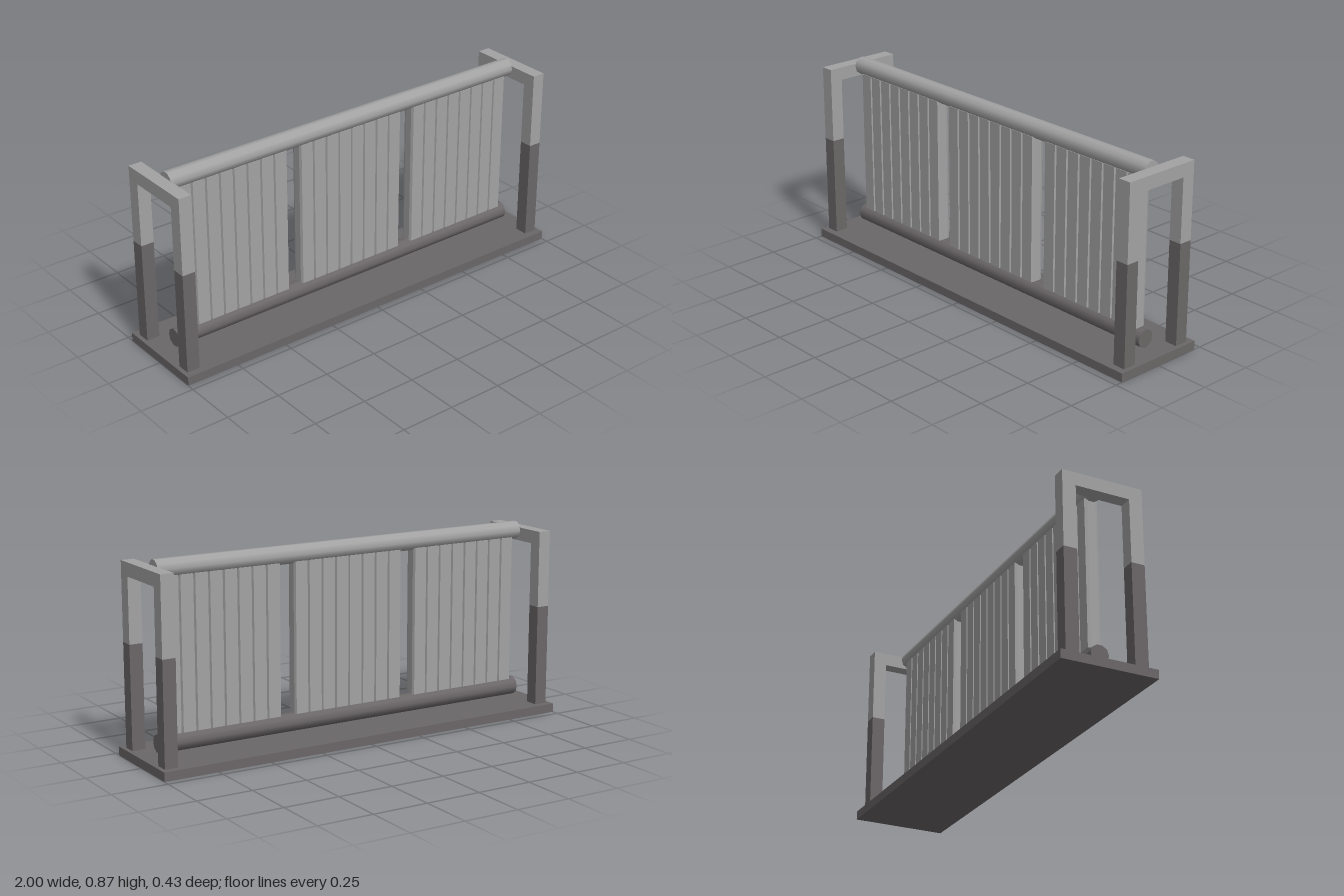
import * as THREE from 'three';

export function createModel() {
  const model = new THREE.Group();
  model.name = 'slattedBarrier';

  const darkGrey = new THREE.MeshStandardMaterial({ color: 0x6b6768 });
  darkGrey.name = 'darkGrey';
  const lightGrey = new THREE.MeshStandardMaterial({ color: 0xa3a3a3 });
  lightGrey.name = 'lightGrey';

  function add(name, geometry, material, x, y, z) {
    const mesh = new THREE.Mesh(geometry, material);
    mesh.name = name;
    mesh.position.set(x, y, z);
    model.add(mesh);
    return mesh;
  }

  // Box given by its bottom and top heights
  function box(name, material, x, z, width, depth, bottom, top) {
    const geometry = new THREE.BoxGeometry(width, top - bottom, depth);
    return add(name, geometry, material, x, (bottom + top) / 2, z);
  }

  // Base plate
  box('base', darkGrey, 0, 0, 2, 0.434, 0, 0.04);

  // End frames: two-tone posts joined by a top bar
  for (const side of [1, -1]) {
    const end = side > 0 ? 'left' : 'right';
    for (const face of [1, -1]) {
      const post = end + (face > 0 ? 'Front' : 'Back') + 'Post';
      box(post + 'Lower', darkGrey, side * 0.951, face * 0.154, 0.06, 0.061, 0.04, 0.5);
      box(post + 'Upper', lightGrey, side * 0.951, face * 0.154, 0.06, 0.061, 0.5, 0.788);
    }
    box(end + 'TopBar', lightGrey, side * 0.951, 0, 0.06, 0.369, 0.788, 0.848);
  }

  // Ten-sided rails running between the frames
  const railGeometry = new THREE.CylinderGeometry(0.0415, 0.0415, 1.845, 10).rotateZ(Math.PI / 2);
  add('upperRail', railGeometry, lightGrey, 0, 0.834, 0);
  add('lowerRail', railGeometry, darkGrey, 0, 0.094, 0);

  // Slat: upright board with narrow bevels along its edges
  const pitch = 0.0683, half = pitch / 2, bevel = 0.005;
  const section = new THREE.Shape([
    [half, -0.018], [half, 0.018], [half - bevel, 0.03], [bevel - half, 0.03],
    [-half, 0.018], [-half, -0.018], [bevel - half, -0.03], [half - bevel, -0.03],
  ].map(([x, z]) => new THREE.Vector2(x, z)));
  const slatGeometry = new THREE.ExtrudeGeometry(section, { depth: 0.672, bevelEnabled: false });
  slatGeometry.rotateX(-Math.PI / 2);

  // Three panels of eight slats
  for (const centre of [-0.615, 0, 0.615]) {
    for (let i = 0; i < 8; i++) {
      add('slat', slatGeometry, lightGrey, centre + (i - 3.5) * pitch, 0.133, 0);
    }
  }

  return model;
}
